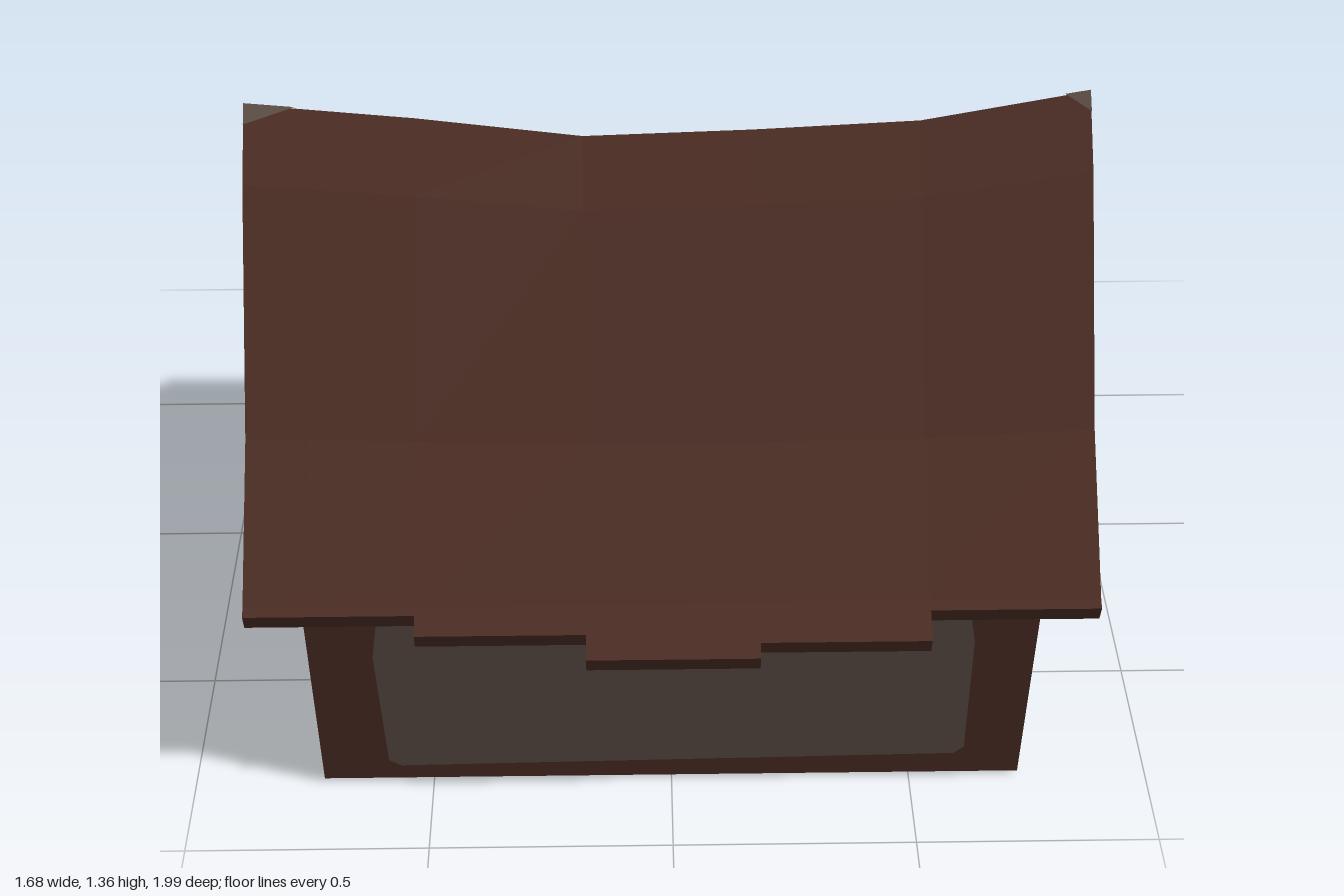
import * as THREE from 'three';

const mat = (name, color, side = THREE.FrontSide) => {
  const m = new THREE.MeshStandardMaterial({ color, side, flatShading: true });
  m.name = name;
  return m;
};

const RIDGE_Z = 0.273;
// Roof bays along x: ridge height at each joint, eave reach front and back per bay
const BAY_X = [-0.84, -0.505, -0.17, 0.17, 0.505, 0.84];
const RIDGE_Y = [1.34, 1.305, 1.26, 1.272, 1.29, 1.355];
const EAVE_FRONT = [0.647, 0.683, 0.727, 0.7, 0.647];
const EAVE_BACK = [0.673, 0.743, 0.735, 0.705, 0.673];

export function createModel() {
  const wood = mat('brown wood', 0x4c2e25);
  const plaster = mat('grey plaster', 0x5b4e46, THREE.DoubleSide);
  const ropeMat = mat('grey rope', 0x584f45);
  const fishMat = mat('green fish', 0x545a38);

  const model = new THREE.Group();
  model.name = 'cottage';

  const add = (parent, name, geo, material, pos = [0, 0, 0], rot = [0, 0, 0]) => {
    const m = new THREE.Mesh(geo, material);
    m.name = name;
    m.position.set(...pos);
    m.rotation.set(...rot);
    parent.add(m);
    return m;
  };
  const box = (parent, name, size, pos, rot) =>
    add(parent, name, new THREE.BoxGeometry(...size), wood, pos, rot);

  // Flat outline extruded to a slab centred on its own plane
  const slab = (pts, depth) => {
    const shape = new THREE.Shape(pts.map(p => new THREE.Vector2(...p)));
    return new THREE.ExtrudeGeometry(shape, { depth, bevelEnabled: false }).translate(0, 0, -depth / 2);
  };
  // Slab facing +x; points are [distance from ridge line, height]
  const endSlab = (pts, depth, x) =>
    slab(pts.map(([d, y]) => [-d, y]), depth).rotateY(Math.PI / 2).translate(x, 0, 0);
  // Slab on the leaning long wall; points are [x, height along wall]
  const longSlab = (pts, depth) => slab(pts, depth).rotateX(0.135).translate(0, 0.01, 0.532);
  const flip = pts => pts.map(([d, y]) => [-d, y]).reverse();

  // ---- Walls: one long wall and one gable per half, turned for the other half
  const END_X = 0.728;
  for (const [side, turn] of [['right', 0], ['left', Math.PI]]) {
    const half = new THREE.Group();
    half.name = side + 'HouseHalf';
    half.position.z = RIDGE_Z;
    half.rotation.y = turn;
    model.add(half);

    add(half, 'longWall', longSlab([[-0.73, 0], [0.73, 0], [0.73, 0.57], [-0.73, 0.57]], 0.008), wood);
    add(half, 'longWallPlaster', longSlab([[-0.59, 0.065], [-0.565, 0.047], [0.59, 0.068], [0.61, 0.09],
      [0.605, 0.43], [0.585, 0.55], [-0.58, 0.55], [-0.6, 0.4]], 0.016), plaster);

    const edge = [[0.61, 0.58], [0.38, 0.78], [0.1, 1.18], [0, 1.285]];
    const gable = [[0.532, 0.01], ...edge, ...flip(edge.slice(0, 3)), [-0.532, 0.01]];
    add(half, 'gableWall', endSlab(gable, 0.008, END_X - 0.004), wood);
    add(half, 'endWallPlaster', endSlab([[0.445, 0.5], [0.42, 0.545], [-0.44, 0.55], [-0.465, 0.52],
      [-0.41, 0.1], [-0.385, 0.067], [-0.22, 0.1], [0.23, 0.075], [0.37, 0.067], [0.405, 0.11]], 0.016, END_X - 0.004), plaster);

    // Timber framing
    add(half, 'tieBeam', endSlab([[0.6, 0.583], [0.46, 0.7], [-0.46, 0.7], [-0.6, 0.583]], 0.04, END_X + 0.01), wood);
    box(half, 'kingPost', [0.035, 0.56, 0.085], [END_X + 0.008, 0.97, 0]);
    for (const s of [1, -1]) {
      const m = pts => (s > 0 ? pts : flip(pts));
      add(half, 'rafter', endSlab(m([...edge, [0, 1.23], [0.045, 1.19], [0.335, 0.83], [0.457, 0.7]]), 0.03, END_X + 0.008), wood);
      add(half, 'strut', endSlab(m([[0.04, 0.7], [0.125, 0.7], [0.285, 0.89], [0.22, 0.96], [0.06, 0.76]]), 0.02, END_X + 0.004), wood);
      add(half, 'upperGablePlaster', endSlab(m([[0.045, 0.82], [0.075, 0.77], [0.19, 0.91], [0.195, 0.95],
        [0.085, 1.09], [0.06, 1.105], [0.045, 1.07]]), 0.016, END_X - 0.002), plaster);
      add(half, 'lowerGablePlaster', endSlab(m([[0.13, 0.743], [0.14, 0.705], [0.32, 0.706], [0.325, 0.743],
        [0.27, 0.835], [0.23, 0.84]]), 0.016, END_X - 0.002), plaster);
    }
  }

  // ---- Roof: five bays with a sagging ridge and uneven eaves
  const ring = (x, ridge, front, back) => {
    const lift = y => (y > 0.58 ? 0.58 + (y - 0.58) * (ridge - 0.58) / (1.355 - 0.58) : y);
    const tip = e => 0.575 - 0.6 * (e - 0.63);
    const slope = e => [[e, tip(e)], [0.63, 0.575], [0.394, 0.812], [0.112, 1.235]];
    const under = e => [[e - 0.012, tip(e) - 0.037], [0.615, 0.535], [0.365, 0.772], [0.09, 1.19]];
    const neg = a => a.map(([d, y]) => [-d, y]).reverse();
    const outer = [...slope(front), [0, 1.355], ...neg(slope(back))];
    const inner = [...under(front), [0, 1.29], ...neg(under(back))];
    const to3 = ([d, y]) => [x, lift(y), RIDGE_Z + d];
    return [outer.map(to3), inner.map(to3)];
  };
  const roof = new THREE.Group();
  roof.name = 'roof';
  model.add(roof);
  for (let i = 0; i < 5; i++) {
    const [o0, i0] = ring(BAY_X[i], RIDGE_Y[i], EAVE_FRONT[i], EAVE_BACK[i]);
    const [o1, i1] = ring(BAY_X[i + 1], RIDGE_Y[i + 1], EAVE_FRONT[i], EAVE_BACK[i]);
    const v = [];
    const quad = (a, b, c, d) => v.push(...a, ...b, ...c, ...a, ...c, ...d);
    for (let j = 0; j < o0.length - 1; j++) {
      quad(o0[j], o1[j], o1[j + 1], o0[j + 1]);
      quad(i0[j], i0[j + 1], i1[j + 1], i1[j]);
      quad(o0[j], o0[j + 1], i0[j + 1], i0[j]);
      quad(o1[j], i1[j], i1[j + 1], o1[j + 1]);
    }
    const n = o0.length - 1;
    quad(o0[0], i0[0], i1[0], o1[0]);
    quad(o0[n], o1[n], i1[n], i0[n]);
    const g = new THREE.BufferGeometry();
    g.setAttribute('position', new THREE.Float32BufferAttribute(v, 3));
    g.computeVertexNormals();
    add(roof, 'roofBay', g, wood);
  }
  // Worn pale corners at the ridge ends
  for (const [x, y, x2, y2] of [[-0.84, 1.34, -0.74, 1.33], [0.84, 1.355, 0.79, 1.346]]) {
    for (const s of [1, -1]) {
      const g = new THREE.BufferGeometry();
      g.setAttribute('position', new THREE.Float32BufferAttribute([
        x, y + 0.003, RIDGE_Z, x2, y2 + 0.003, RIDGE_Z, x, y - 0.027, RIDGE_Z + s * 0.032], 3));
      g.computeVertexNormals();
      add(roof, 'wornCorner', g, plaster);
    }
  }

  // ---- Door on the right end
  const door = new THREE.Group();
  door.name = 'door';
  model.add(door);
  box(door, 'doorPanel', [0.03, 0.4, 0.34], [0.725, 0.205, 0.27]);
  for (const z of [0.468, 0.075]) box(door, 'doorPost', [0.055, 0.4, 0.065], [0.728, z > 0.2 ? 0.2 : 0.215, z]);
  box(door, 'doorLintel', [0.07, 0.085, 0.525], [0.73, 0.425, 0.27], [0.09, 0, 0]);

  // ---- Shuttered window on the left end
  const win = new THREE.Group();
  win.name = 'window';
  model.add(win);
  box(win, 'shutter', [0.04, 0.32, 0.32], [-0.722, 0.29, 0.285]);
  for (const z of [0.45, 0.12]) box(win, 'windowPost', [0.065, 0.34, 0.055], [-0.72, 0.29, z]);
  box(win, 'windowLintel', [0.085, 0.065, 0.46], [-0.722, 0.46, 0.285], [0.08, 0, 0]);
  box(win, 'windowSill', [0.1, 0.06, 0.44], [-0.725, 0.13, 0.285]);

  // ---- Six-sided barrel behind the house
  const barrel = new THREE.Group();
  barrel.name = 'barrel';
  barrel.position.set(-0.39, 0, -0.5);
  model.add(barrel);
  const profile = [[0, 0.04], [0.105, 0.04], [0.13, 0.12], [0.13, 0.27], [0.108, 0.36], [0.088, 0.36], [0.09, 0.32]];
  add(barrel, 'barrelBody', new THREE.LatheGeometry(profile.map(p => new THREE.Vector2(...p)), 6), wood);
  add(barrel, 'barrelWater', new THREE.CylinderGeometry(0.095, 0.095, 0.008, 6), plaster, [0, 0.325, 0]);

  // ---- Fish drying rack
  const rack = new THREE.Group();
  rack.name = 'dryingRack';
  model.add(rack);
  const turn = Math.atan2(0.45, 0.61);
  const post = (name, bottom, top) => {
    const a = new THREE.Vector3(...bottom), b = new THREE.Vector3(...top);
    const g = new THREE.BoxGeometry(0.05, a.distanceTo(b), 0.055).rotateY(turn);
    const m = add(rack, name, g, wood);
    m.position.copy(a).add(b).multiplyScalar(0.5);
    m.quaternion.setFromUnitVectors(new THREE.Vector3(0, 1, 0), b.sub(a).normalize());
  };
  post('nearPost', [0.505, 0.005, -0.333], [0.488, 0.42, -0.357]);
  post('farPost', [0.027, 0.02, -0.957], [0.065, 0.38, -0.908]);
  const ropePath = new THREE.CatmullRomCurve3([[0.485, 0.385, -0.365], [0.375, 0.34, -0.505],
    [0.27, 0.32, -0.645], [0.16, 0.318, -0.785], [0.068, 0.34, -0.905]].map(p => new THREE.Vector3(...p)));
  add(rack, 'rope', new THREE.TubeGeometry(ropePath, 12, 0.009, 5), ropeMat);

  // Fish hang head up, flattened along the rope
  const fishProfile = [[0, -0.235], [0.032, -0.23], [0.012, -0.185], [0.034, -0.14], [0.041, -0.085], [0.034, -0.03], [0.016, 0.008], [0, 0.01]];
  for (const [x, y, z] of [[0.375, 0.34, -0.503], [0.27, 0.315, -0.645], [0.155, 0.313, -0.79]]) {
    const g = new THREE.LatheGeometry(fishProfile.map(p => new THREE.Vector2(...p)), 6, Math.PI / 6 * 3);
    add(rack, 'fish', g.scale(1, 1, 0.5), fishMat, [x, y, z], [0, turn, 0]);
  }
  return model;
}
